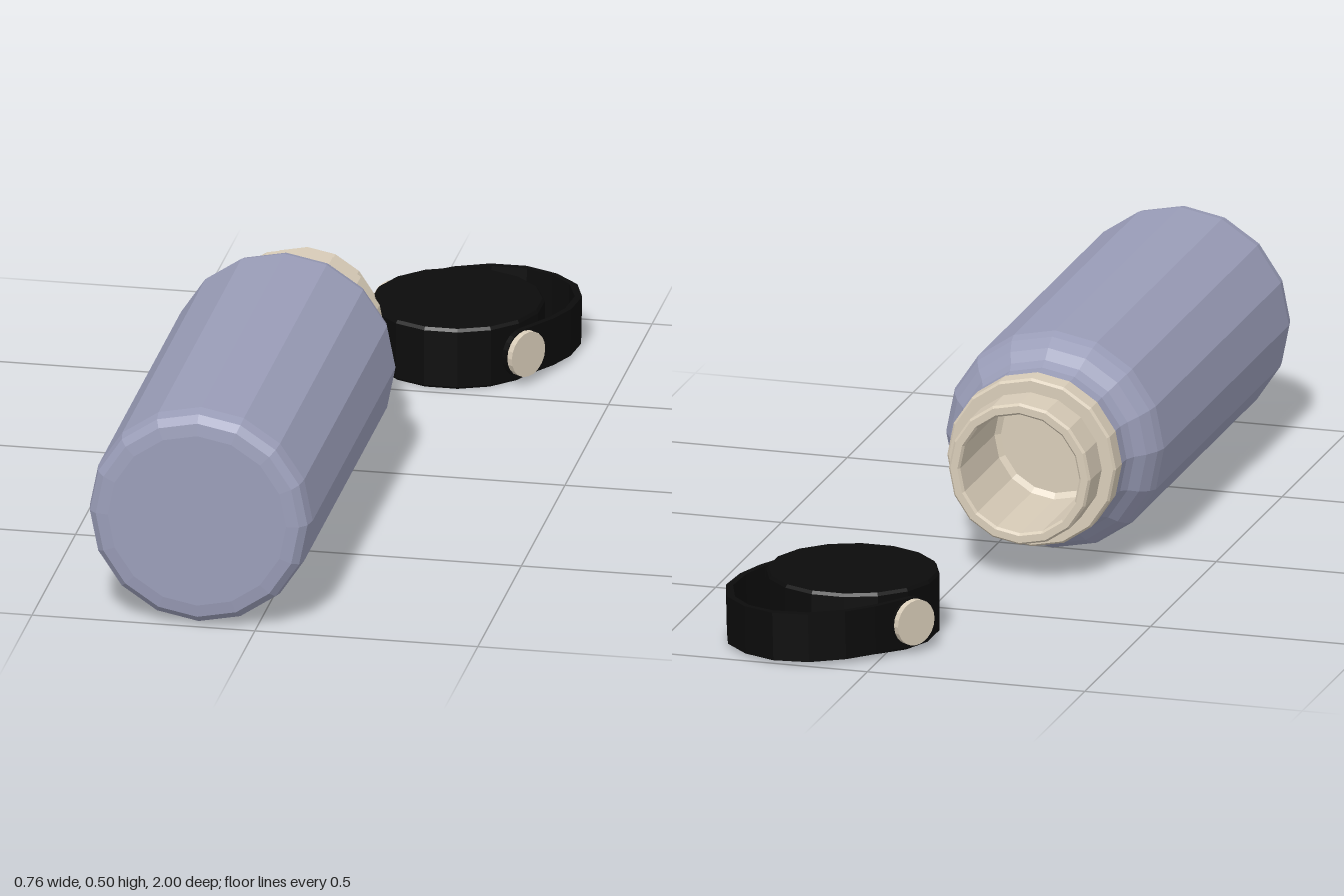
import * as THREE from 'three';

const material = (color) => new THREE.MeshStandardMaterial({ color, flatShading: true });
const blue = material(0x9a9db8);
const beige = material(0xd8ccb8);
const black = material(0x0b0b0b);

function add(parent, name, geometry, mat) {
  const mesh = new THREE.Mesh(geometry, mat);
  mesh.name = name;
  parent.add(mesh);
  return mesh;
}

// Sixteen-sided turned part from [radius, height] pairs
const turned = (points) =>
  new THREE.LatheGeometry(points.map(([r, y]) => new THREE.Vector2(r, y)), 16);

function createBottle() {
  const bottle = new THREE.Group();
  bottle.name = 'bottle';

  // Body: rounded base, straight wall, shoulder and short neck
  add(bottle, 'body', turned([
    [0, -1], [0.2, -1], [0.228, -0.996], [0.244, -0.98], [0.25, -0.95],
    [0.25, 0], [0.243, 0.025], [0.226, 0.055], [0.205, 0.078], [0.194, 0.1],
    [0.192, 0.13], [0.16, 0.13],
  ]), blue);

  // Collar ring with small bevels
  add(bottle, 'collar', turned([
    [0.16, 0.13], [0.19, 0.13], [0.194, 0.135], [0.194, 0.18],
    [0.189, 0.186], [0.15, 0.186],
  ]), beige);

  // Mouth: outer wall, lip, hollow interior and floor
  add(bottle, 'mouth', turned([
    [0.163, 0.18], [0.163, 0.27], [0.158, 0.276], [0.142, 0.276],
    [0.137, 0.27], [0.137, 0.01], [0.125, 0], [0, 0],
  ]), beige);

  // Lay the bottle on its side, mouth to the back
  bottle.rotation.x = -Math.PI / 2;
  bottle.position.set(-0.13, 0.25, 0);
  return bottle;
}

function createCap() {
  const cap = new THREE.Group();
  cap.name = 'cap';

  // Lid, open below
  add(cap, 'lid', turned([
    [0, 0.1], [0.148, 0.1], [0.152, 0.005], [0.157, 0], [0.186, 0],
    [0.192, 0.006], [0.192, 0.135], [0.187, 0.142], [0, 0.142],
  ]), black);

  // Carrying strap, pivoting on the two buttons
  const strap = new THREE.Group();
  strap.name = 'strap';
  strap.position.y = 0.07;
  strap.rotation.x = -0.03;
  cap.add(strap);

  const half = [[0.207, 0], [0.2, 0.1], [0.183, 0.17], [0.143, 0.243], [0.079, 0.292]];
  const arch = (t) => [
    ...half.map(([x, y]) => new THREE.Vector2(x - t, y * (1 - t / 0.307))),
    new THREE.Vector2(0, 0.307 - t),
    ...half.slice().reverse().map(([x, y]) => new THREE.Vector2(t - x, y * (1 - t / 0.307))),
  ];
  const outline = new THREE.Shape([...arch(0), ...arch(0.013).reverse()]);
  const band = new THREE.ExtrudeGeometry(outline, { depth: 0.11, bevelEnabled: false });
  band.translate(0, 0, -0.055).rotateX(-Math.PI / 2);
  add(strap, 'strapBand', band, black);

  for (const side of [-1, 1]) {
    const disc = (r, thickness, x) =>
      new THREE.CylinderGeometry(r, r, thickness, 20).rotateZ(Math.PI / 2).translate(side * x, 0, 0);
    add(strap, 'strapEnd', disc(0.055, 0.013, 0.2005), black);
    add(strap, 'strapButton', disc(0.052, 0.014, 0.214), beige);
    add(strap, 'strapPivot', disc(0.02, 0.03, 0.19), black);
  }

  cap.rotation.y = -0.594;
  cap.position.set(0.12, 0, -0.713);
  return cap;
}

export function createModel() {
  const model = new THREE.Group();
  model.name = 'bottleWithCap';
  model.add(createBottle(), createCap());
  return model;
}
